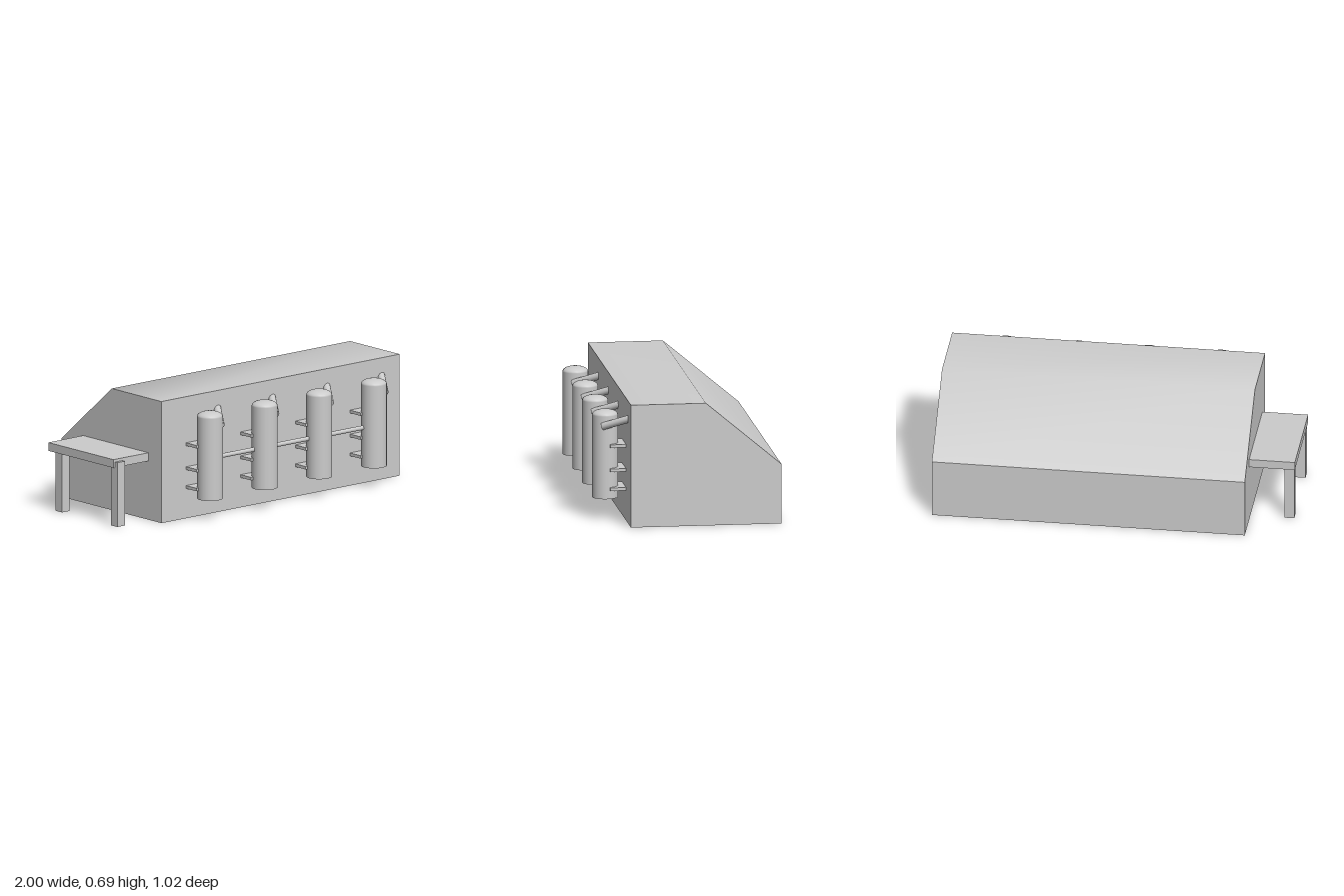
import * as THREE from 'three';
import { toCreasedNormals } from 'three/addons/utils/BufferGeometryUtils.js';

const grey = new THREE.MeshStandardMaterial({ color: 0xcccccc });

function add(parent, name, geometry) {
  const mesh = new THREE.Mesh(geometry, grey);
  mesh.name = name;
  parent.add(mesh);
  return mesh;
}

// Box given by its extents on each axis
function box(parent, name, [x0, x1], [y0, y1], [z0, z1]) {
  const mesh = add(parent, name, new THREE.BoxGeometry(x1 - x0, y1 - y0, z1 - z0));
  mesh.position.set((x0 + x1) / 2, (y0 + y1) / 2, (z0 + z1) / 2);
  return mesh;
}

// Straight round pipe between two points
function pipe(parent, name, from, to, radius, sides = 16) {
  const a = new THREE.Vector3(...from);
  const dir = new THREE.Vector3(...to).sub(a);
  const mesh = add(parent, name, new THREE.CylinderGeometry(radius, radius, dir.length(), sides));
  mesh.position.copy(a).addScaledVector(dir, 0.5);
  mesh.quaternion.setFromUnitVectors(new THREE.Vector3(0, 1, 0), dir.normalize());
  return mesh;
}

function createTank() {
  const tank = new THREE.Group();
  const z = 0.436, radius = 0.072;

  // Cylinder with a shallow domed lid
  const shell = add(tank, 'tankShell', new THREE.CylinderGeometry(radius, radius, 0.465, 20));
  shell.position.set(0, 0.3525, z);
  const dome = add(tank, 'tankDome', new THREE.SphereGeometry(radius, 20, 6, 0, Math.PI * 2, 0, Math.PI / 2));
  dome.scale.y = 0.03 / radius;
  dome.position.set(0, 0.585, z);

  // Slanted outlet running into the wall
  pipe(tank, 'outletPipe', [0.062, 0.53, 0.457], [0.155, 0.589, 0.318], 0.021);

  // Flat brackets holding the tank to the wall
  for (const y of [0.177, 0.284, 0.42]) {
    box(tank, 'wallBracket', [-0.083, 0.083], [y - 0.0085, y + 0.0085], [0.32, 0.418]);
  }
  return tank;
}

export function createModel() {
  const model = new THREE.Group();
  model.name = 'tankBuilding';

  // Building: side profile extruded along x, softly shaded where the roof bends
  const profile = new THREE.Shape();
  profile.moveTo(-0.33, 0);
  profile.lineTo(0.51, 0);
  profile.lineTo(0.51, 0.335);
  profile.lineTo(0.088, 0.69);
  profile.lineTo(-0.33, 0.69);
  profile.closePath();
  const hull = new THREE.ExtrudeGeometry(profile, { depth: 1.745, bevelEnabled: false });
  hull.rotateY(Math.PI / 2).translate(-0.745, 0, 0);
  add(model, 'building', toCreasedNormals(hull, THREE.MathUtils.degToRad(45)));

  // Side platform on two legs
  box(model, 'platform', [-1, -0.745], [0.333, 0.38], [-0.33, 0.22]);
  for (const z of [-0.28, 0.185]) {
    box(model, 'platformLeg', [-0.99, -0.935], [0, 0.365], [z, z + 0.055]);
  }

  // Row of tanks joined by one pipe
  for (let i = 0; i < 4; i++) {
    const tank = createTank();
    tank.name = 'tank' + (i + 1);
    tank.position.x = -0.482 + i * 0.4;
    model.add(tank);
  }
  pipe(model, 'connectingPipe', [-0.482, 0.343, 0.422], [0.718, 0.343, 0.422], 0.0125);

  return model;
}
